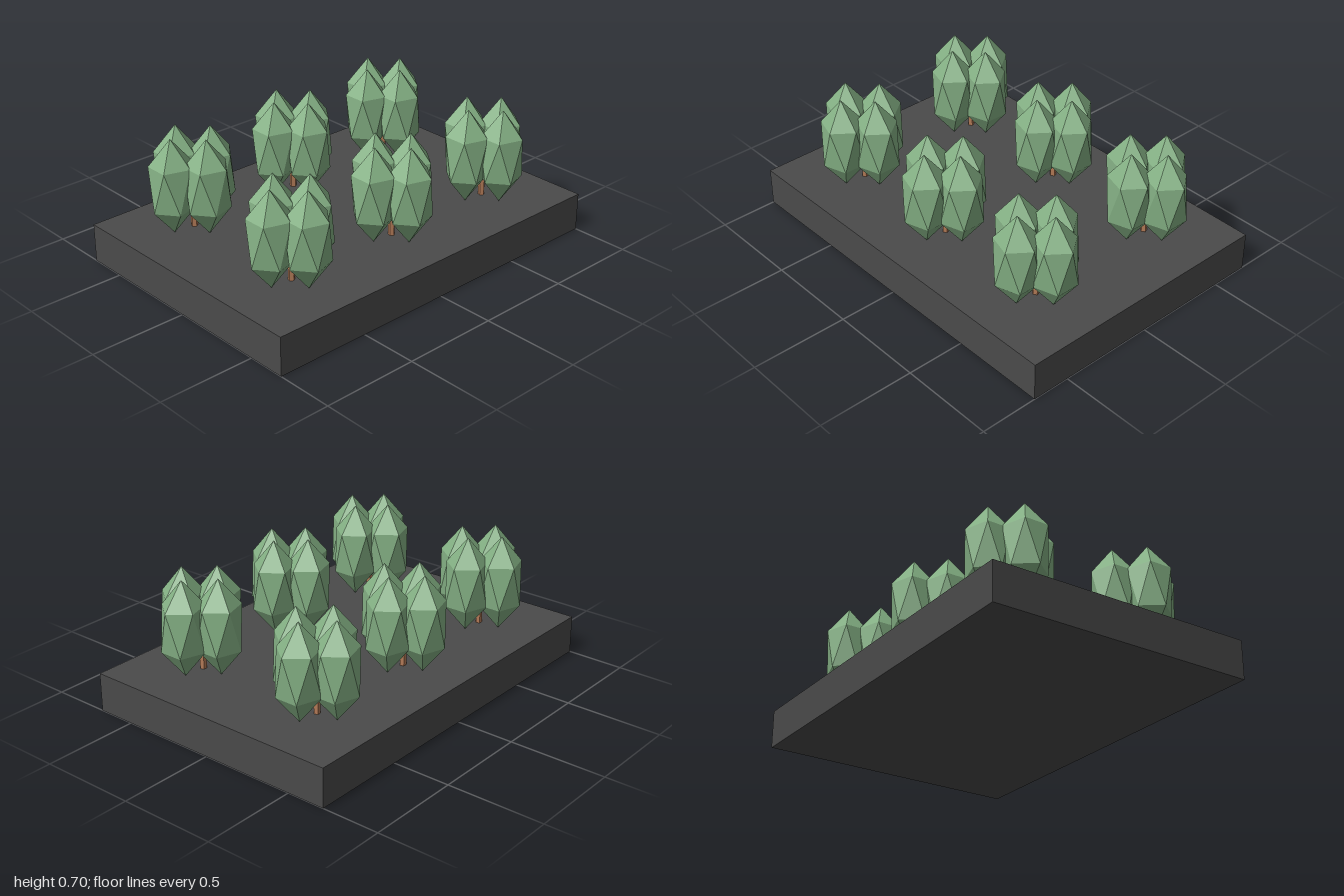
import * as THREE from 'three';

const material = (name, color, flatShading = false) => {
  const m = new THREE.MeshStandardMaterial({ color, flatShading });
  m.name = name;
  return m;
};

// Stretched icosahedron with its points up and down: two staggered rings of five
function crownGeometry(radius, height, depthScale) {
  const ringY = height / 2 / Math.sqrt(5);
  const point = (y, angle) => [radius * Math.cos(angle), y, depthScale * radius * Math.sin(angle)];
  const top = [0, height / 2, 0];
  const bottom = [0, -height / 2, 0];
  const step = (Math.PI * 2) / 5;
  const positions = [];
  for (let i = 0; i < 5; i++) {
    const a = point(ringY, i * step);
    const b = point(ringY, (i + 1) * step);
    const c = point(-ringY, (i + 0.5) * step);
    const d = point(-ringY, (i + 1.5) * step);
    positions.push(...top, ...b, ...a, ...a, ...b, ...c, ...b, ...d, ...c, ...c, ...d, ...bottom);
  }
  const geometry = new THREE.BufferGeometry();
  geometry.setAttribute('position', new THREE.Float32BufferAttribute(positions, 3));
  geometry.computeVertexNormals();
  return geometry;
}

export function createModel() {
  const model = new THREE.Group();
  model.name = 'plantBed';
  const soil = material('darkSoil', 0x4a4a4a);
  const leaf = material('leafGreen', 0x84b084, true);
  const bark = material('barkBrown', 0xb57c58, true);

  // Ground slab
  const slab = new THREE.Mesh(new THREE.BoxGeometry(2, 0.2, 1.4), soil);
  slab.name = 'groundSlab';
  slab.position.y = 0.1;
  model.add(slab);

  const crown = crownGeometry(0.113, 0.496, 0.95);
  const stem = new THREE.CylinderGeometry(0.017, 0.017, 0.2, 5);
  const offsets = [[0.12, 0], [-0.12, 0], [0, 0.12], [0, -0.12]];

  // Two rows of three bushes, each a stem with four crowns around it
  for (const z of [-0.36, 0.36]) {
    for (const x of [-0.64, 0, 0.64]) {
      const bush = new THREE.Group();
      bush.name = 'bush';
      bush.position.set(x, 0.2, z);
      const trunk = new THREE.Mesh(stem, bark);
      trunk.name = 'stem';
      trunk.position.y = 0.1;
      bush.add(trunk);
      for (const [dx, dz] of offsets) {
        const leaves = new THREE.Mesh(crown, leaf);
        leaves.name = 'crown';
        leaves.position.set(dx, 0.252, dz);
        bush.add(leaves);
      }
      model.add(bush);
    }
  }
  return model;
}
